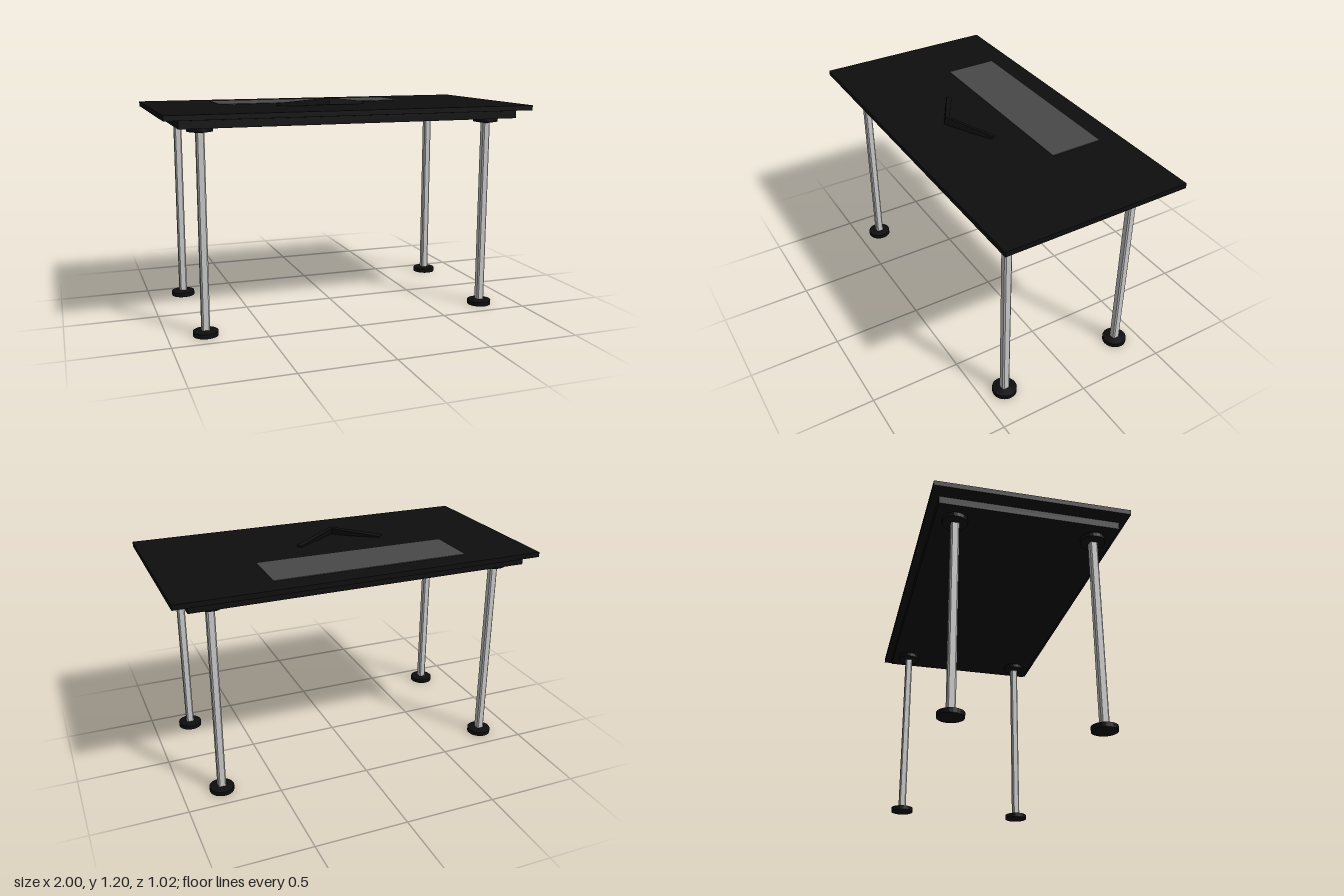
import * as THREE from 'three';

const black = new THREE.MeshStandardMaterial({ color: 0x0e0e0e });
black.name = 'black';
const grey = new THREE.MeshStandardMaterial({ color: 0x484848 });
grey.name = 'dark grey';
const metal = new THREE.MeshStandardMaterial({ color: 0xcacaca });
metal.name = 'light metal';

function add(parent, name, geometry, material, x = 0, y = 0, z = 0) {
  const mesh = new THREE.Mesh(geometry, material);
  mesh.name = name;
  mesh.position.set(x, y, z);
  parent.add(mesh);
  return mesh;
}

// Box given by its limits on each axis
function slab(parent, name, material, [x0, x1], [y0, y1], [z0, z1]) {
  return add(parent, name, new THREE.BoxGeometry(x1 - x0, y1 - y0, z1 - z0), material,
    (x0 + x1) / 2, (y0 + y1) / 2, (z0 + z1) / 2);
}

// Solid joining four-cornered cross-sections, closed at both ends
function loft(sections) {
  const index = [];
  const last = (sections.length - 1) * 4;
  for (let s = 0; s < last; s += 4) {
    for (let i = 0; i < 4; i++) {
      const a = s + i, b = s + (i + 1) % 4;
      index.push(a, b, a + 4, b, b + 4, a + 4);
    }
  }
  index.push(0, 2, 1, 0, 3, 2, last, last + 1, last + 2, last, last + 2, last + 3);
  const g = new THREE.BufferGeometry();
  g.setAttribute('position', new THREE.Float32BufferAttribute(sections.flat(2), 3));
  g.setIndex(index);
  const flat = g.toNonIndexed();
  flat.computeVertexNormals();
  return flat;
}

// Square tube outline with chamfered corners
function legGeometry(height) {
  const h = 0.021, c = 0.014;
  const outline = [[h, -c], [h, c], [c, h], [-c, h], [-h, c], [-h, -c], [-c, -h], [c, -h]];
  const shape = new THREE.Shape(outline.map(([x, y]) => new THREE.Vector2(x, y)));
  const g = new THREE.ExtrudeGeometry(shape, { depth: height, bevelEnabled: false });
  return g.rotateX(-Math.PI / 2);
}

// Round foot with a slightly domed face
function padGeometry() {
  const profile = [[0, 0], [0.066, 0], [0.066, 0.024], [0.022, 0.031], [0, 0.031]];
  const g = new THREE.LatheGeometry(profile.map(([x, y]) => new THREE.Vector2(x, y)), 24).toNonIndexed();
  g.computeVertexNormals();
  return g;
}

export function createModel() {
  const table = new THREE.Group();
  table.name = 'table';

  // Top and the frame under it, with a narrow shadow gap
  slab(table, 'tableTop', black, [-1, 1], [1.123, 1.15], [-0.51, 0.51]);
  slab(table, 'underFrame', black, [-0.925, 0.92], [1.079, 1.119], [-0.47, 0.472]);
  slab(table, 'gapCore', black, [-0.85, 0.85], [1.115, 1.125], [-0.41, 0.41]);

  // Inset panel towards the back
  slab(table, 'panel', grey, [-0.61, 0.47], [1.146, 1.153], [-0.39, -0.1]);

  // Raised bent bar: left end, middle, right end
  const end = (side) => [
    [side * 0.258, 1.163, 0.072], [side * 0.252, 1.143, 0.08],
    [side * 0.234, 1.143, 0.062], [side * 0.238, 1.157, 0.05],
  ];
  const middle = [[0, 1.197, 0.216], [0, 1.16, 0.228], [0, 1.156, 0.205], [0, 1.192, 0.192]];
  add(table, 'bentBar', loft([end(-1), middle, end(1)]), black, -0.077, 0, 0);

  // Legs with a foot below and a mounting plate above
  const leg = legGeometry(1.06);
  const pad = padGeometry();
  for (const x of [-0.805, 0.79]) {
    for (const z of [-0.367, 0.369]) {
      const group = new THREE.Group();
      group.name = (z > 0 ? 'front' : 'back') + (x > 0 ? 'Left' : 'Right') + 'Leg';
      group.position.set(x, 0, z);
      add(group, 'post', leg, metal, 0, 0.015, 0);
      add(group, 'foot', pad, black);
      add(group, 'mountingPlate', pad, black, 0, 1.081, 0).rotation.x = Math.PI;
      table.add(group);
    }
  }
  return table;
}
